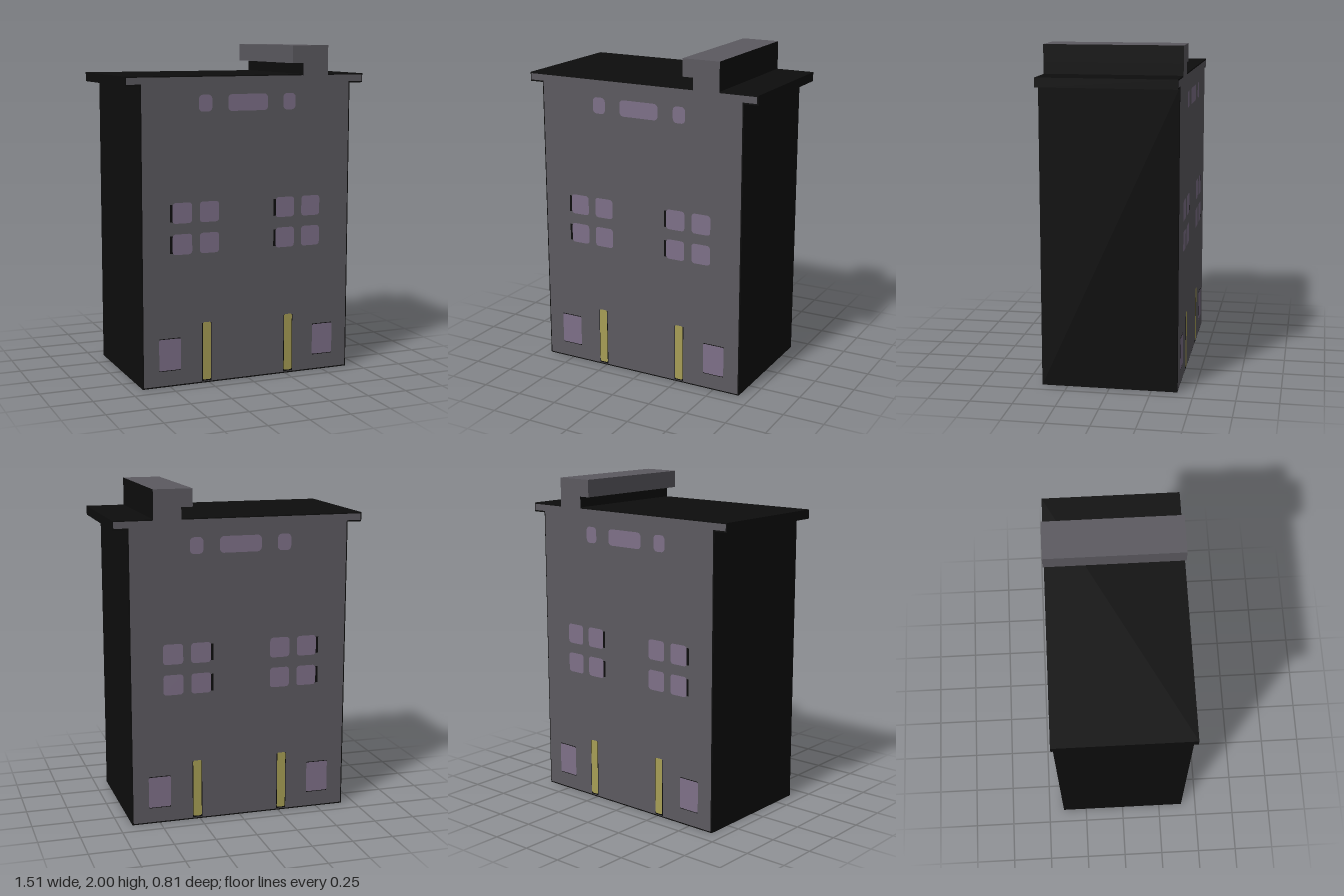
import * as THREE from 'three';

export function createModel() {
  const model = new THREE.Group();
  model.name = 'townhouse';
  const mat = (name, color) => {
    const m = new THREE.MeshStandardMaterial({ color });
    m.name = name;
    return m;
  };
  const black = mat('black', 0x0d0d0d);
  const grey = mat('wall grey', 0x5c5a60);
  const glass = mat('mauve glass', 0x7e7088);
  const yellow = mat('door yellow', 0xa79e55);
  const FRONT = 0.403; // half depth of the solid body

  // Box given by its x and y limits, running through the depth
  function block(name, x0, x1, y0, y1, halfDepth, material) {
    const mesh = new THREE.Mesh(new THREE.BoxGeometry(x1 - x0, y1 - y0, halfDepth * 2), material);
    mesh.position.set((x0 + x1) / 2, (y0 + y1) / 2, 0);
    mesh.name = name;
    model.add(mesh);
  }

  // Flat panel with rounded corners, repeated on the front and back
  function panel(name, x0, x1, y0, y1, r, material, layer) {
    const w = (x1 - x0) / 2, h = (y1 - y0) / 2, s = new THREE.Shape();
    if (r > 0) {
      s.absarc(w - r, h - r, r, 0, Math.PI / 2);
      s.absarc(r - w, h - r, r, Math.PI / 2, Math.PI);
      s.absarc(r - w, r - h, r, Math.PI, Math.PI * 1.5);
      s.absarc(w - r, r - h, r, Math.PI * 1.5, Math.PI * 2);
    } else {
      s.moveTo(-w, -h).lineTo(w, -h).lineTo(w, h).lineTo(-w, h);
    }
    const geo = new THREE.ShapeGeometry(s, 4);
    for (const side of [1, -1]) {
      const mesh = new THREE.Mesh(geo, material);
      mesh.position.set((x0 + x1) / 2, (y0 + y1) / 2, side * (FRONT + layer * 0.001));
      if (side < 0) mesh.rotation.y = Math.PI;
      mesh.name = name + (side > 0 ? 'Front' : 'Back');
      model.add(mesh);
    }
  }

  // Dark body and roof slab, with grey facades leaving a thin dark outline
  block('body', -0.67, 0.67, 0, 1.78, FRONT, black);
  block('roofSlab', -0.757, 0.757, 1.775, 1.83, FRONT, black);
  panel('facade', -0.663, 0.663, 0.008, 1.784, 0, grey, 2);
  panel('eave', -0.75, 0.75, 1.784, 1.823, 0, grey, 2);

  // Chimney ridge with a cap overhanging to one side (+x, -x, +y, -y, +z, -z)
  block('chimneyStem', 0.355, 0.52, 1.822, 1.9, 0.406, [black, black, grey, black, grey, grey]);
  block('chimneyCap', 0.287, 0.52, 1.895, 2, 0.406, [black, grey, grey, black, grey, grey]);

  // Attic windows
  panel('atticWindowRight', -0.313, -0.23, 1.622, 1.72, 0.025, glass, 4);
  panel('atticWindowMiddle', -0.13, 0.125, 1.622, 1.72, 0.025, glass, 4);
  panel('atticWindowLeft', 0.225, 0.305, 1.622, 1.72, 0.025, glass, 4);

  // Four-pane windows with narrow dark reveals
  for (const x of [-0.48, 0.18]) {
    for (const y of [0.79, 0.975]) {
      for (const dx of [0, 0.17]) {
        panel('pane', x + dx, x + dx + 0.122, y, y + 0.122, 0.02, glass, 4);
      }
      panel('windowReveal', x - 0.015, x + 0.01, y + 0.01, y + 0.112, 0, black, 3);
    }
  }

  // Ground-floor windows and tall yellow door strips
  for (const s of [-1, 1]) {
    const wx = s * 0.5, dx = s * 0.267;
    panel('lowerWindowTrim', wx - 0.066, wx + 0.066, 0.097, 0.294, 0, black, 3);
    panel('lowerWindow', wx - 0.068, wx + 0.068, 0.101, 0.29, 0.01, glass, 4);
    panel('doorTrim', dx - 0.03, dx + 0.03, 0.012, 0.368, 0, black, 3);
    panel('doorStrip', dx - 0.026, dx + 0.026, 0.02, 0.372, 0.01, yellow, 4);
  }
  return model;
}
